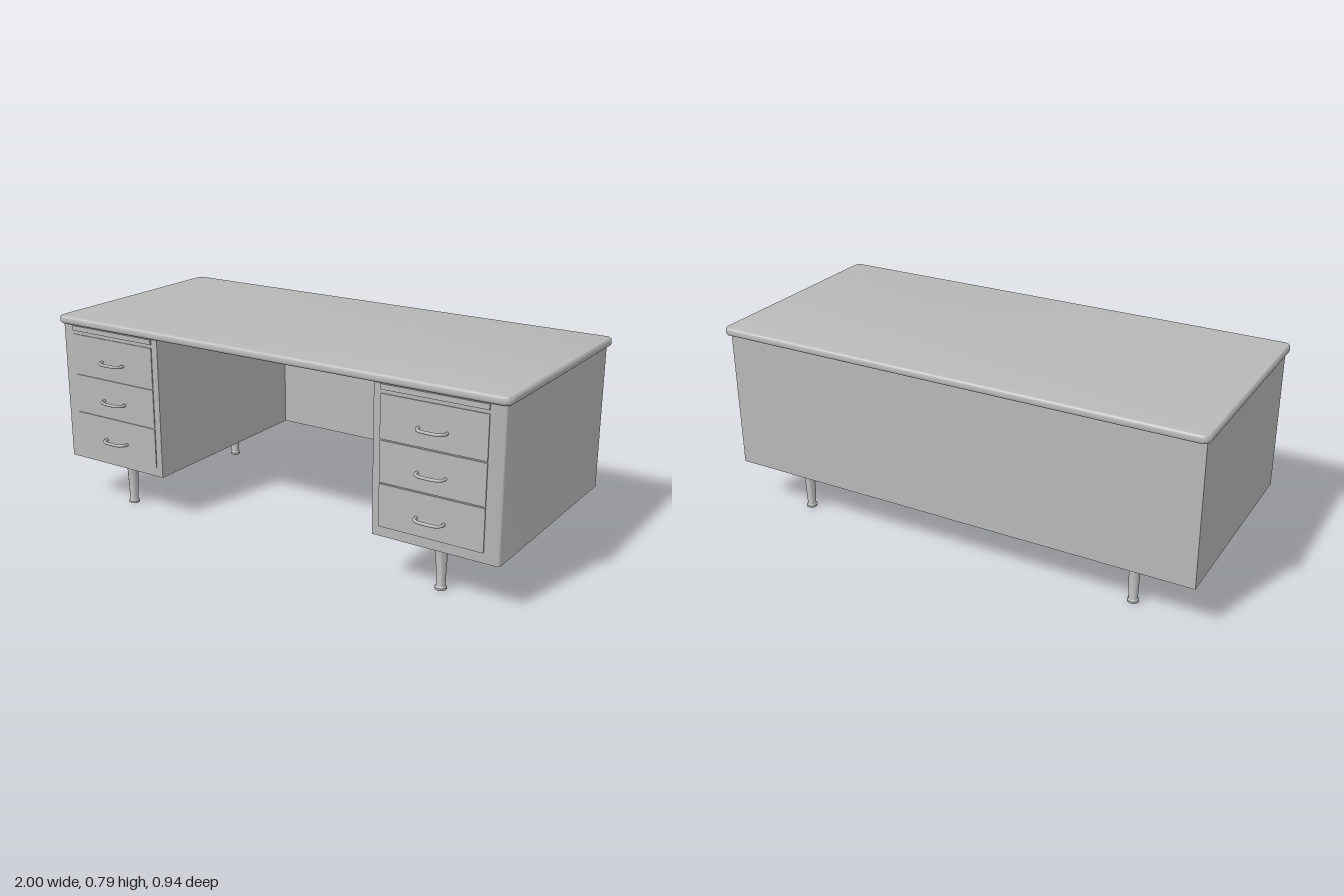
import * as THREE from 'three';
import { toCreasedNormals } from 'three/addons/utils/BufferGeometryUtils.js';

const paintedMetal = new THREE.MeshStandardMaterial({ color: 0xb8b8b8 });
paintedMetal.name = 'grey painted metal';

function add(parent, name, geometry, x = 0, y = 0, z = 0) {
  const mesh = new THREE.Mesh(geometry, paintedMetal);
  mesh.name = name;
  mesh.position.set(x, y, z);
  parent.add(mesh);
  return mesh;
}

// Box given by its limits on each axis
function block(parent, name, x0, x1, y0, y1, z0, z1) {
  return add(parent, name, new THREE.BoxGeometry(x1 - x0, y1 - y0, z1 - z0),
    (x0 + x1) / 2, (y0 + y1) / 2, (z0 + z1) / 2);
}

// Floor-plan outline with rounded corners (shape y is -z); radii are
// front left, back left, back right, front right, with 0 for a sharp corner
function plan(x0, x1, z0, z1, [fl, bl, br, fr]) {
  const s = new THREE.Shape();
  const a = -z1, b = -z0, q = Math.PI / 2;
  const corner = (cx, cy, r, start) => r ? s.absarc(cx, cy, r, start, start + q) : s.lineTo(cx, cy);
  s.moveTo(x0 + fr, a);
  corner(x1 - fl, a + fl, fl, -q);
  corner(x1 - bl, b - bl, bl, 0);
  corner(x0 + br, b - br, br, q);
  corner(x0 + fr, a + fr, fr, 2 * q);
  s.closePath();
  return s;
}

function extrudeUp(shape, depth, bevel = 0) {
  const geometry = new THREE.ExtrudeGeometry(shape, {
    depth: depth - 2 * bevel, curveSegments: 8, bevelEnabled: bevel > 0,
    bevelSize: bevel, bevelThickness: bevel, bevelOffset: -bevel, bevelSegments: 5,
  });
  geometry.rotateX(-Math.PI / 2).translate(0, bevel, 0);
  return toCreasedNormals(geometry, 0.7);
}

// Bow-shaped drawer pull
function handleGeometry() {
  const curve = new THREE.CatmullRomCurve3([
    [-0.054, 0], [-0.053, 0.018], [-0.04, 0.032], [0, 0.037],
    [0.04, 0.032], [0.053, 0.018], [0.054, 0],
  ].map(([x, z]) => new THREE.Vector3(x, 0, z)));
  return new THREE.TubeGeometry(curve, 32, 0.006, 10, false);
}

function legGeometry() {
  const profile = [
    [0, 0], [0.018, 0], [0.022, 0.003], [0.022, 0.011], [0.018, 0.014],
    [0.017, 0.017], [0.023, 0.182],
  ].map(([r, y]) => new THREE.Vector2(r, y));
  return toCreasedNormals(new THREE.LatheGeometry(profile, 24), 0.7);
}

function createPedestal(name) {
  const g = new THREE.Group();
  g.name = name;
  add(g, 'cabinet', extrudeUp(plan(0.487, 0.985, -0.44, 0.427, [0.015, 0, 0, 0]), 0.568), 0, 0.187, 0);

  // Drawer fronts with their pulls
  const handle = handleGeometry();
  [[0.225, 0.387, 0.293], [0.392, 0.548, 0.46], [0.553, 0.717, 0.622]].forEach(([y0, y1, hy]) => {
    block(g, 'drawerFront', 0.515, 0.925, y0, y1, 0.42, 0.431);
    add(g, 'drawerHandle', handle, 0.72, hy, 0.428);
  });
  block(g, 'pullOutShelf', 0.515, 0.925, 0.732, 0.752, 0.42, 0.434);

  // Tapered legs on square mounting plates
  const leg = legGeometry();
  for (const z of [0.343, -0.35]) {
    block(g, 'legPlate', 0.675, 0.775, 0.181, 0.188, z - 0.047, z + 0.047);
    add(g, 'leg', leg, 0.725, 0, z);
  }
  return g;
}

export function createModel() {
  const desk = new THREE.Group();
  desk.name = 'desk';

  // Rounded-edge worktop
  const r = 0.03;
  add(desk, 'worktop', extrudeUp(plan(-1, 1, -0.472, 0.442, [r, r, r, r]), 0.032, 0.011), 0, 0.755, 0);

  // Mirrored drawer pedestals joined by the modesty panel
  desk.add(createPedestal('leftPedestal'));
  const right = createPedestal('rightPedestal');
  right.scale.x = -1;
  desk.add(right);
  block(desk, 'modestyPanel', -0.488, 0.488, 0.187, 0.755, -0.44, -0.422);

  return desk;
}
